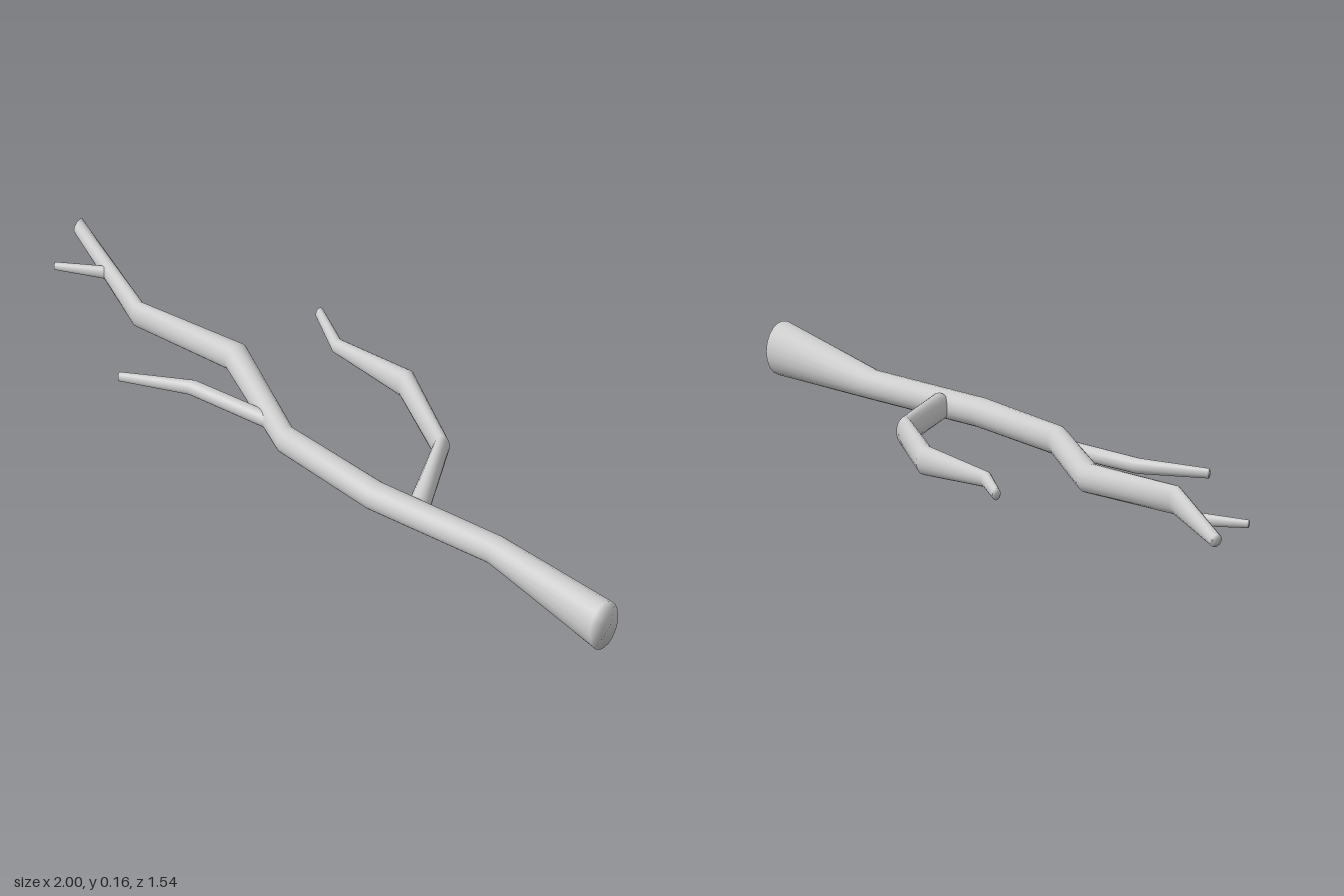
import * as THREE from 'three';

const SIDES = 20;
const MID_Y = 0.082;

// Sweeps elliptical rings into a closed limb. Each ring is
// [x, z of one edge, x, z of the other edge, half height].
function limb(name, rings, material) {
  const pos = [], index = [];
  const centre = ([x1, z1, x2, z2]) => [(x1 + x2) / 2, MID_Y, (z1 + z2) / 2];
  for (const ring of rings) {
    const [x1, z1, x2, z2, h] = ring;
    const [cx, cy, cz] = centre(ring);
    for (let j = 0; j < SIDES; j++) {
      const a = (j / SIDES) * Math.PI * 2, c = Math.cos(a) / 2;
      pos.push(cx + c * (x2 - x1), cy + Math.sin(a) * h, cz + c * (z2 - z1));
    }
  }
  const last = rings.length - 1;
  const startCap = rings.length * SIDES, endCap = startCap + 1;
  pos.push(...centre(rings[0]), ...centre(rings[last]));
  for (let j = 0; j < SIDES; j++) {
    const k = (j + 1) % SIDES;
    for (let i = 0; i < last; i++) {
      const a = i * SIDES + j, b = i * SIDES + k;
      index.push(a, b, a + SIDES, b, b + SIDES, a + SIDES);
    }
    index.push(startCap, k, j, endCap, last * SIDES + j, last * SIDES + k);
  }
  const geometry = new THREE.BufferGeometry();
  geometry.setAttribute('position', new THREE.Float32BufferAttribute(pos, 3));
  geometry.setIndex(index);
  geometry.computeVertexNormals();
  const mesh = new THREE.Mesh(geometry, material);
  mesh.name = name;
  return mesh;
}

export function createModel() {
  const group = new THREE.Group();
  group.name = 'branch';
  const bark = new THREE.MeshStandardMaterial({ color: 0xcccccc });

  // Main stem, from the flared butt to the thin tip
  group.add(limb('mainStem', [
    [0.998, 0.657, 0.944, 0.77, 0.08],
    [0.596, 0.406, 0.559, 0.485, 0.043],
    [0.195, 0.246, 0.154, 0.324, 0.043],
    [-0.126, 0.059, -0.163, 0.123, 0.043],
    [-0.361, -0.289, -0.409, -0.219, 0.043],
    [-0.693, -0.398, -0.723, -0.358, 0.043],
    [-0.979, -0.77, -0.992, -0.717, 0.018],
  ], bark));

  // Long crooked branch
  group.add(limb('longBranch', [
    [0.342, 0.303, 0.278, 0.301, 0.04],
    [0.319, 0.0, 0.276, 0.025, 0.043],
    [0.136, -0.289, 0.105, -0.226, 0.043],
    [-0.108, -0.396, -0.13, -0.364, 0.023],
    [-0.2, -0.53, -0.217, -0.508, 0.018],
  ], bark));

  // Short side branch
  group.add(limb('shortBranch', [
    [-0.24, -0.018, -0.215, 0.042, 0.024],
    [-0.457, -0.099, -0.477, -0.059, 0.023],
    [-0.682, -0.086, -0.684, -0.064, 0.015],
  ], bark));

  // Twig near the tip
  group.add(limb('twig', [
    [-0.85, -0.562, -0.848, -0.53, 0.02],
    [-1.0, -0.549, -1.0, -0.528, 0.012],
  ], bark));

  return group;
}
